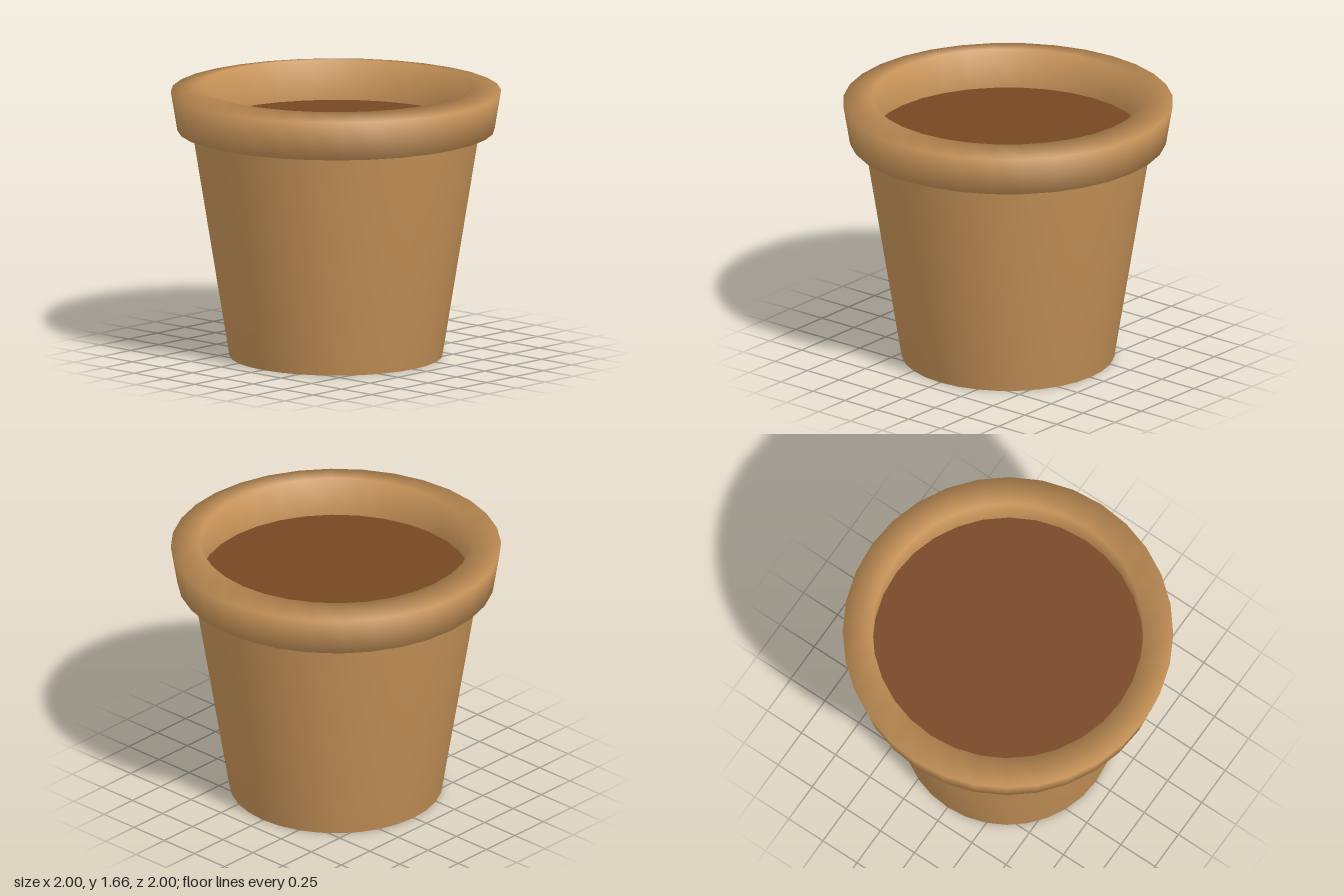
import * as THREE from 'three';

const SIDES = 32;

export function createModel() {
  const pot = new THREE.Group();
  pot.name = 'flowerPot';

  const clay = new THREE.MeshStandardMaterial({ color: 0xc89459 });
  clay.name = 'clay';
  const earth = new THREE.MeshStandardMaterial({ color: 0x774723 });
  earth.name = 'earth';

  const add = (name, geometry, material) => {
    const mesh = new THREE.Mesh(geometry, material);
    mesh.name = name;
    pot.add(mesh);
    return mesh;
  };
  const lathe = (profile) =>
    new THREE.LatheGeometry(profile.map(([r, y]) => new THREE.Vector2(r, y)), SIDES);
  const disc = (radius) => new THREE.CircleGeometry(radius, SIDES);

  // Tapered wall with a narrow foot ring
  add('body', lathe([[0.555, 0.015], [0.555, 0], [0.645, 0], [0.87, 1.39]]), clay);

  // Flared collar: underside, outer face, sloping top and inner face
  add('rim', lathe([[0.82, 1.39], [0.96, 1.39], [1, 1.63], [0.82, 1.66], [0.82, 1.39]]), clay);

  // Underside of the pot, slightly recessed
  const base = add('base', disc(0.555), clay);
  base.rotation.x = Math.PI / 2;
  base.position.y = 0.01;

  // Soil surface inside the collar
  const soil = add('soil', disc(0.825), earth);
  soil.rotation.x = -Math.PI / 2;
  soil.position.y = 1.41;

  return pot;
}
